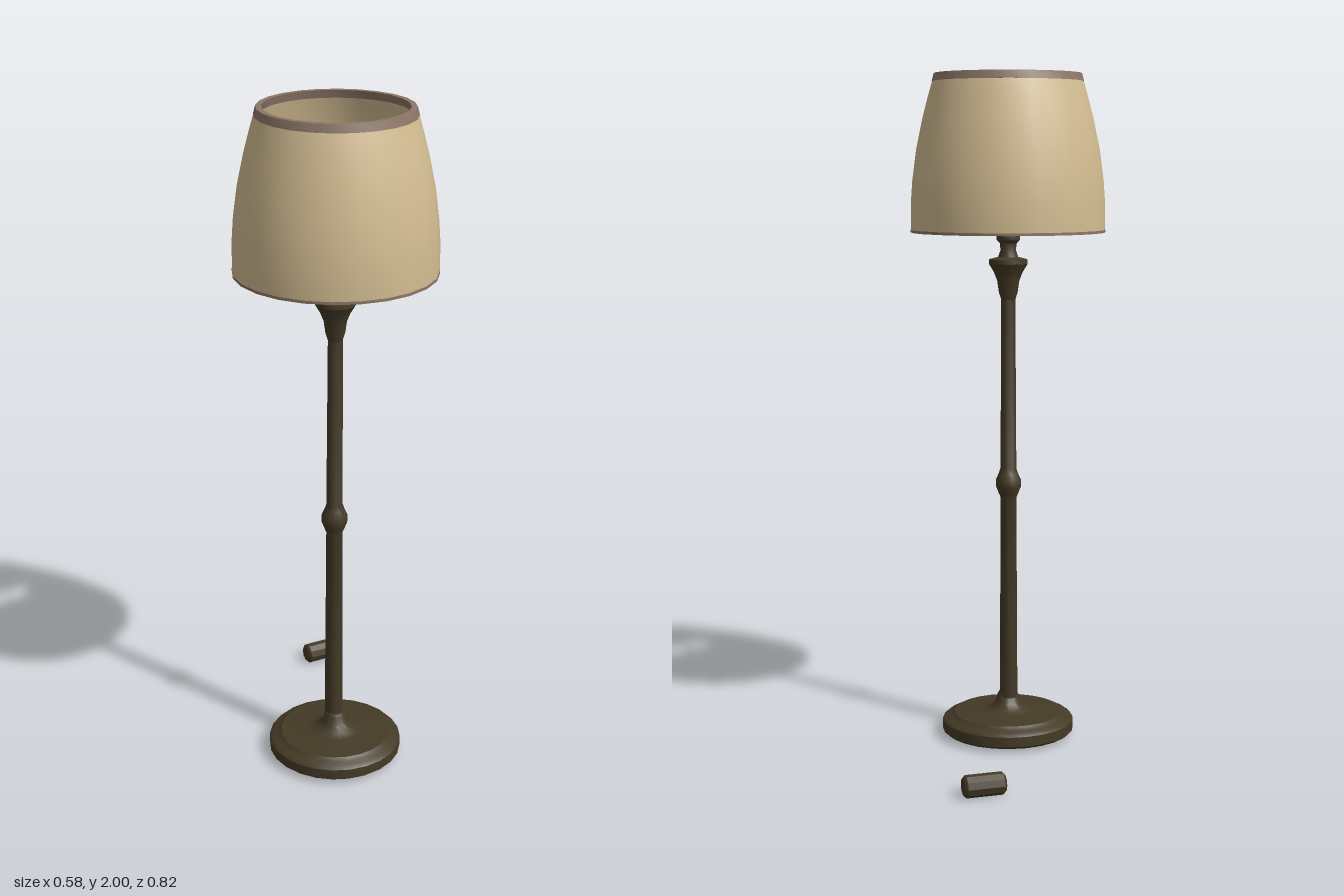
import * as THREE from 'three';
import { toCreasedNormals } from 'three/addons/utils/BufferGeometryUtils.js';

const mat = (name, color, side = THREE.FrontSide) => {
  const m = new THREE.MeshStandardMaterial({ color, side });
  m.name = name;
  return m;
};

// Revolve [radius, height] points (bottom to top) with crisp profile edges
function turned(name, points, sides, material) {
  const profile = points.map(([r, y]) => new THREE.Vector2(r, y));
  const geometry = toCreasedNormals(new THREE.LatheGeometry(profile, sides), 0.6);
  const mesh = new THREE.Mesh(geometry, material);
  mesh.name = name;
  return mesh;
}

export function createModel() {
  const bronze = mat('dark bronze', 0x443a26);
  const fabric = mat('cream fabric', 0xd3bd92, THREE.DoubleSide);
  const trim = mat('taupe trim', 0x8c7768, THREE.DoubleSide);
  const glass = mat('bulb white', 0xdedadb);

  const model = new THREE.Group();
  model.name = 'floorLampWithSwitch';
  const lamp = new THREE.Group();
  lamp.name = 'floorLamp';
  lamp.position.z = 0.122;
  model.add(lamp);

  // Weighted foot with a stepped rim and a flared neck
  const base = turned('base', [
    [0, 0.012], [0.19, 0.012], [0.2, 0.02], [0.2, 0.05], [0.19, 0.06],
    [0.175, 0.063], [0.165, 0.073], [0.08, 0.078], [0.055, 0.085],
    [0.038, 0.102], [0.032, 0.125], [0.026, 0.135], [0, 0.135],
  ], 24, bronze);
  base.position.z = 0.008;
  lamp.add(base);

  // Tapered pole with a knuckle halfway up
  lamp.add(turned('pole', [
    [0.027, 0.12], [0.024, 0.74], [0.03, 0.755], [0.038, 0.775],
    [0.038, 0.795], [0.029, 0.815], [0.024, 0.83], [0.021, 1.36],
  ], 16, bronze));

  // Flared cup and narrow stem under the shade
  lamp.add(turned('cup', [
    [0.02, 1.335], [0.028, 1.36], [0.033, 1.395], [0.043, 1.42],
    [0.058, 1.445], [0.057, 1.458], [0.03, 1.465], [0.023, 1.485],
    [0.025, 1.505], [0.035, 1.515], [0.036, 1.535], [0.03, 1.55], [0, 1.55],
  ], 16, bronze));

  // Bulb holder
  lamp.add(turned('socket', [
    [0, 1.545], [0.035, 1.545], [0.053, 1.565], [0.058, 1.58],
    [0.058, 1.68], [0.05, 1.69], [0, 1.69],
  ], 16, bronze));

  // Light bulb
  const bulb = new THREE.Mesh(new THREE.SphereGeometry(0.054, 12, 8), glass);
  bulb.name = 'bulb';
  bulb.position.y = 1.72;
  lamp.add(bulb);

  // Shade with outer and inner walls
  const wall = [
    [0.287, 1.545], [0.287, 1.62], [0.282, 1.69], [0.27, 1.78],
    [0.251, 1.87], [0.234, 1.935], [0.221, 1.98],
  ];
  lamp.add(turned('shadeOuter', wall, 24, fabric));
  lamp.add(turned('shadeInner', wall.map(([r, y]) => [r - 0.014, y]).reverse(), 24, fabric));

  // Bands closing the top and bottom edges of the shade
  const band = (name, r0, y0, r1, y1) => lamp.add(turned(name, [
    [r0 - 0.016, y0], [r0, y0], [r1, y1], [r1 - 0.016, y1], [r0 - 0.016, y0],
  ], 24, trim));
  band('topTrim', 0.223, 1.977, 0.217, 2.0);
  band('bottomTrim', 0.288, 1.538, 0.288, 1.546);

  // Separate bevelled barrel lying on the floor
  const barrel = turned('floorSwitch', [
    [0, -0.06], [0.025, -0.06], [0.032, -0.053], [0.032, 0.053],
    [0.025, 0.06], [0, 0.06],
  ], 10, bronze);
  barrel.rotation.z = -Math.PI / 2;
  barrel.position.set(0.222, 0.032, -0.377);
  model.add(barrel);

  return model;
}
